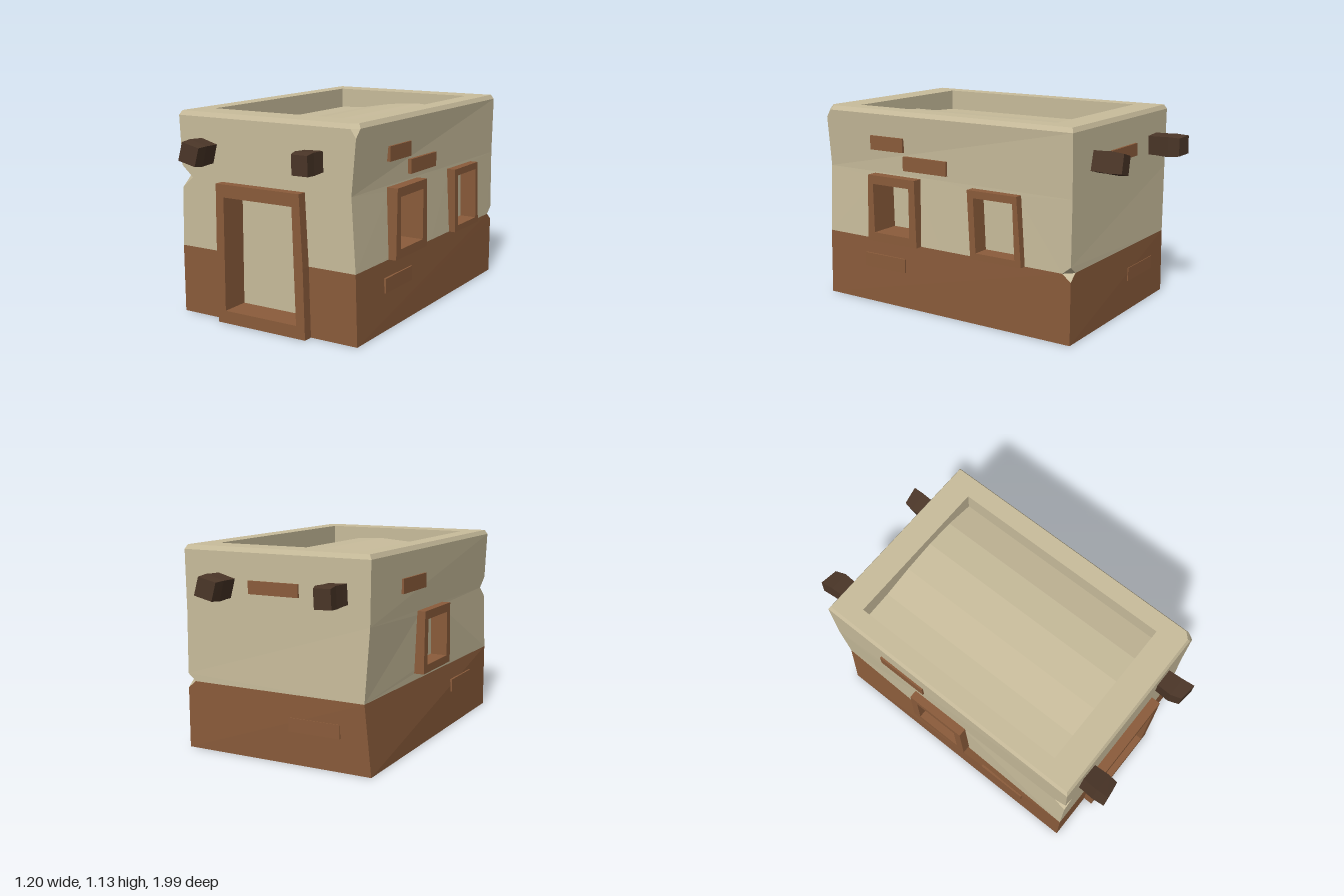
import * as THREE from 'three';

export function createModel() {
  const group = new THREE.Group();
  const mat = (name, color) => new THREE.MeshStandardMaterial({ name, color, flatShading: true });
  const sand = mat('sand plaster', 0xc9bd9c);
  const clay = mat('clay brown', 0x8b5c3b);
  const wood = mat('dark wood', 0x4b3628);

  const add = (name, geo, material, parent = group) => {
    const mesh = new THREE.Mesh(geo, material);
    mesh.name = name;
    parent.add(mesh);
    return mesh;
  };
  // Convex faces, each a counter-clockwise list of points
  const faces = (list) => {
    const pos = [];
    for (const f of list)
      for (let i = 1; i < f.length - 1; i++) pos.push(...f[0], ...f[i], ...f[i + 1]);
    const geo = new THREE.BufferGeometry();
    geo.setAttribute('position', new THREE.Float32BufferAttribute(pos, 3));
    geo.computeVertexNormals();
    return geo;
  };
  const shapeOf = (pts, hole) => {
    const shape = new THREE.Shape(pts.map((p) => new THREE.Vector2(...p)));
    if (hole) shape.holes.push(new THREE.Path(hole.map((p) => new THREE.Vector2(...p))));
    return shape;
  };

  // ---- Walls: four uneven corner posts [x, z] at four heights
  const heights = [0, 0.38, 0.77, 1.105];
  const corners = [
    [[-0.565, 0.83], [-0.565, 0.83], [-0.55, 0.83], [-0.565, 0.83]],
    [[0.56, 0.83], [0.55, 0.83], [0.525, 0.83], [0.555, 0.83]],
    [[0.56, -0.81], [0.56, -0.81], [0.555, -0.81], [0.56, -0.81]],
    [[-0.565, -0.81], [-0.53, -0.82], [-0.555, -0.81], [-0.56, -0.81]],
  ];
  const widths = [1.12, 1.64, 1.12, 1.64];
  const wallNames = ['front', 'left', 'back', 'right'];
  const { lerp } = THREE.MathUtils;
  // Point on a wall: u runs left to right seen from outside, v up the band
  const at = (wall, band, u, v) => {
    const post = (c, k) => lerp(corners[c % 4][band][k], corners[c % 4][band + 1][k], v);
    return [
      lerp(post(wall, 0), post(wall + 1, 0), u),
      lerp(heights[band], heights[band + 1], v),
      lerp(post(wall, 1), post(wall + 1, 1), u),
    ];
  };

  // Broken corners: post, level, width and height of the chip
  const cuts = {};
  const setCut = (wall, band, corner, cut) => ((cuts[`${wall}${band}`] ??= {})[corner] = cut);
  const chips = [[0, 2, 0.07, 0.06], [2, 1, 0.05, 0.04], [1, 3, 0.035, 0.045]];
  const chipFaces = [];
  for (const [c, level, d, h] of chips) {
    const p = (c + 3) % 4;
    const dr = d / widths[c], dl = d / widths[p];
    const low = h / (heights[level] - heights[level - 1]);
    setCut(c, level - 1, 3, [dr, low]);
    setCut(p, level - 1, 2, [dl, low]);
    const A = at(c, level - 1, dr, 1), B = at(p, level - 1, 1 - dl, 1);
    chipFaces.push([at(c, level - 1, 0, 1 - low), A, B]);
    if (level < 3) {
      const high = h / (heights[level + 1] - heights[level]);
      setCut(c, level, 0, [dr, high]);
      setCut(p, level, 1, [dl, high]);
      chipFaces.push([at(c, level, 0, high), B, A]);
    }
  }
  add('chippedCorners', faces(chipFaces), sand);

  const outline = (wall, band) => {
    const cut = cuts[`${wall}${band}`] ?? {};
    return [[0, 0], [1, 0], [1, 1], [0, 1]].flatMap(([u, v], i) => {
      if (!cut[i]) return [[u, v]];
      const along = [Math.abs(u - cut[i][0]), v], up = [u, Math.abs(v - cut[i][1])];
      return i % 2 ? [along, up] : [up, along];
    });
  };
  const panel = (wall, band, pts, hole) => {
    const geo = new THREE.ShapeGeometry(shapeOf(pts, hole));
    const pos = geo.attributes.position;
    for (let i = 0; i < pos.count; i++) pos.setXYZ(i, ...at(wall, band, pos.getX(i), pos.getY(i)));
    geo.computeVertexNormals();
    add(`${wallNames[wall]}${['Base', 'Wall', 'UpperWall'][band]}`, geo, band ? sand : clay);
  };

  // ---- Windows: outer and inner outlines as seen from outside (s runs to the right)
  const windows = [
    { wall: 1, face: 0.597, depth: 0.18,
      outer: [[-0.5, 0.38], [-0.15, 0.38], [-0.16, 0.762], [-0.49, 0.762]],
      inner: [[-0.45, 0.43], [-0.2, 0.43], [-0.2, 0.712], [-0.455, 0.712]] },
    { wall: 1, face: 0.597, depth: 0.1,
      outer: [[0.215, 0.38], [0.535, 0.38], [0.505, 0.755], [0.195, 0.755]],
      inner: [[0.25, 0.415], [0.495, 0.415], [0.48, 0.715], [0.235, 0.715]] },
    { wall: 3, face: 0.6, depth: 0.1,
      outer: [[-0.24, 0.42], [0.14, 0.42], [0.13, 0.768], [-0.23, 0.768]],
      inner: [[-0.19, 0.465], [0.09, 0.465], [0.085, 0.72], [-0.185, 0.72]] },
  ];
  const midway = (w) => w.outer.map((p, i) => p.map((n, k) => (n + w.inner[i][k]) / 2));

  for (let wall = 0; wall < 4; wall++)
    for (let band = 0; band < 3; band++) {
      const pts = outline(wall, band);
      const a = 0.281, b = 0.71, top = 0.93; // door opening in the front wall
      if (wall === 0 && band === 0) {
        panel(0, 0, [[0, 0], [a, 0], [a, 1], [0, 1]]);
        panel(0, 0, [[b, 0], [1, 0], [1, 1], [b, 1]]);
      } else if (wall === 0 && band === 1) {
        panel(0, 1, [pts[0], [a, 0], [a, top], [b, top], [b, 0], ...pts.slice(1)]);
      } else if (band === 1 && wall % 2) {
        // Openings are cut strip by strip, one strip per window
        const list = windows.filter((w) => w.wall === wall);
        const toUV = ([s, y]) => [(s + (wall === 1 ? 0.83 : 0.81)) / 1.64, (y - 0.38) / 0.39];
        const geoHoles = list.map((w) => midway(w).map(toUV));
        if (list.length === 1) panel(wall, band, pts, geoHoles[0]);
        else {
          const right = pts.filter((p) => p[0] > 0.5), left = pts.filter((p) => p[0] < 0.5);
          const lowLeft = left.filter((p) => p[1] < 0.5), highLeft = left.filter((p) => p[1] >= 0.5);
          panel(wall, band, [...lowLeft, [0.5, 0], [0.5, 1], ...highLeft], geoHoles[0]);
          panel(wall, band, [[0.5, 0], ...right, [0.5, 1]], geoHoles[1]);
        }
      } else panel(wall, band, pts);
    }

  // ---- Frames with a deep reveal and a plain panel behind
  const frame = (name, outer, inner, face, depth, turn) => {
    const part = new THREE.Group();
    part.name = name;
    part.rotation.y = turn;
    const geo = new THREE.ExtrudeGeometry(shapeOf(outer, inner), { depth, bevelEnabled: false });
    add(`${name}Surround`, geo.translate(0, 0, face - depth), clay, part);
    const back = new THREE.ShapeGeometry(shapeOf(inner));
    add(`${name}Panel`, back.translate(0, 0, face - depth + 0.002), sand, part);
    group.add(part);
  };
  for (const w of windows)
    frame('window', w.outer, w.inner, w.face, w.depth, w.wall === 1 ? Math.PI / 2 : -Math.PI / 2);
  frame('door',
    [[-0.285, 0], [0.28, 0], [0.27, 0.38], [0.25, 0.765], [-0.28, 0.765], [-0.285, 0.38]],
    [[-0.235, 0.07], [0.225, 0.07], [0.205, 0.695], [-0.23, 0.695]], 0.885, 0.165, 0);

  // ---- Roof: bevelled edge, flat rim, sunken humped floor
  const ring = corners.map((c) => [c[3][0], heights[3], c[3][1]]);
  ring.splice(1, 1, at(0, 2, 1 - 0.035 / 1.12, 1), at(1, 2, 0.035 / 1.64, 1));
  const rim = ring.map(([x, , z]) => [x * 0.975, 1.13, z * 0.985]);
  add('roofEdge', faces(ring.map((p, i) => {
    const j = (i + 1) % ring.length;
    return [p, ring[j], rim[j], rim[i]];
  })), sand);
  const well = [[-0.45, 0.66], [0.44, 0.66], [0.44, -0.65], [-0.45, -0.65]];
  const flip = ([x, z]) => [x, -z];
  const rimShape = shapeOf(rim.map(([x, , z]) => [x, -z]), well.map(flip));
  add('roofRim', new THREE.ShapeGeometry(rimShape).rotateX(-Math.PI / 2).translate(0, 1.13, 0), sand);
  add('parapetInside', faces(well.map(([x, z], i) => {
    const [x2, z2] = well[(i + 1) % 4];
    return [[x, 1.13, z], [x2, 1.13, z2], [x2, 0.99, z2], [x, 0.99, z]];
  })), sand);
  const hump = [[-0.45, 1.01], [-0.27, 1.02], [-0.09, 1.05], [0.1, 1.065], [0.27, 1.055], [0.44, 1.015]];
  add('roofFloor', faces(hump.slice(1).map(([x2, y2], i) => {
    const [x, y] = hump[i];
    return [[x, y, 0.66], [x2, y2, 0.66], [x2, y2, -0.65], [x, y, -0.65]];
  })), sand);
  add('underside', faces([corners.map((c) => [c[0][0], 0, c[0][1]]).reverse()]), sand);

  // ---- Exposed bricks: x, y, z centre and size
  const bricks = [
    [0.54, 0.25, 0.405, 0.052, 0.08, 0.29], [0.53, 0.94, 0.385, 0.055, 0.08, 0.23],
    [0.53, 0.84, 0.12, 0.055, 0.08, 0.295], [-0.55, 0.247, 0.4, 0.05, 0.075, 0.3],
    [-0.55, 0.93, -0.3, 0.04, 0.08, 0.3], [0, 0.925, -0.8, 0.3, 0.07, 0.046],
    [-0.238, 0.218, -0.8, 0.305, 0.075, 0.042],
  ];
  for (const [x, y, z, w, h, d] of bricks)
    add('exposedBrick', new THREE.BoxGeometry(w, h, d).translate(x, y, z), clay);

  // ---- Roof beam ends: x, y, end z, roll, sideways bend at the tip
  const beams = [
    [-0.375, 0.925, 0.99, -0.26, 0.0], [0.307, 0.93, 0.985, 0.03, 0.015],
    [-0.375, 0.925, -1, -0.05, -0.015], [0.305, 0.925, -0.985, 0.26, 0.005],
  ];
  for (const [x, y, end, roll, bend] of beams) {
    const geo = new THREE.BoxGeometry(0.108, 0.108, 0.21, 1, 1, 3);
    const pos = geo.attributes.position;
    geo.rotateZ(roll);
    for (let i = 0; i < pos.count; i++) {
      const t = (pos.getZ(i) * Math.sign(end)) / 0.105; // 1 at the tip
      const k = t > 0.9 ? 0.96 : t > 0 ? 1.06 : 1;
      pos.setXY(i, pos.getX(i) * k + (t > 0.9 ? bend : 0), pos.getY(i) * k);
      if (t > 0.9) pos.setZ(i, pos.getZ(i) + Math.sign(end) * (pos.getX(i) * Math.sign(x) - 0.05) * 0.12);
    }
    geo.computeVertexNormals();
    add('roofBeam', geo.translate(x, y, end - Math.sign(end) * 0.105), wood);
  }
  return group;
}
